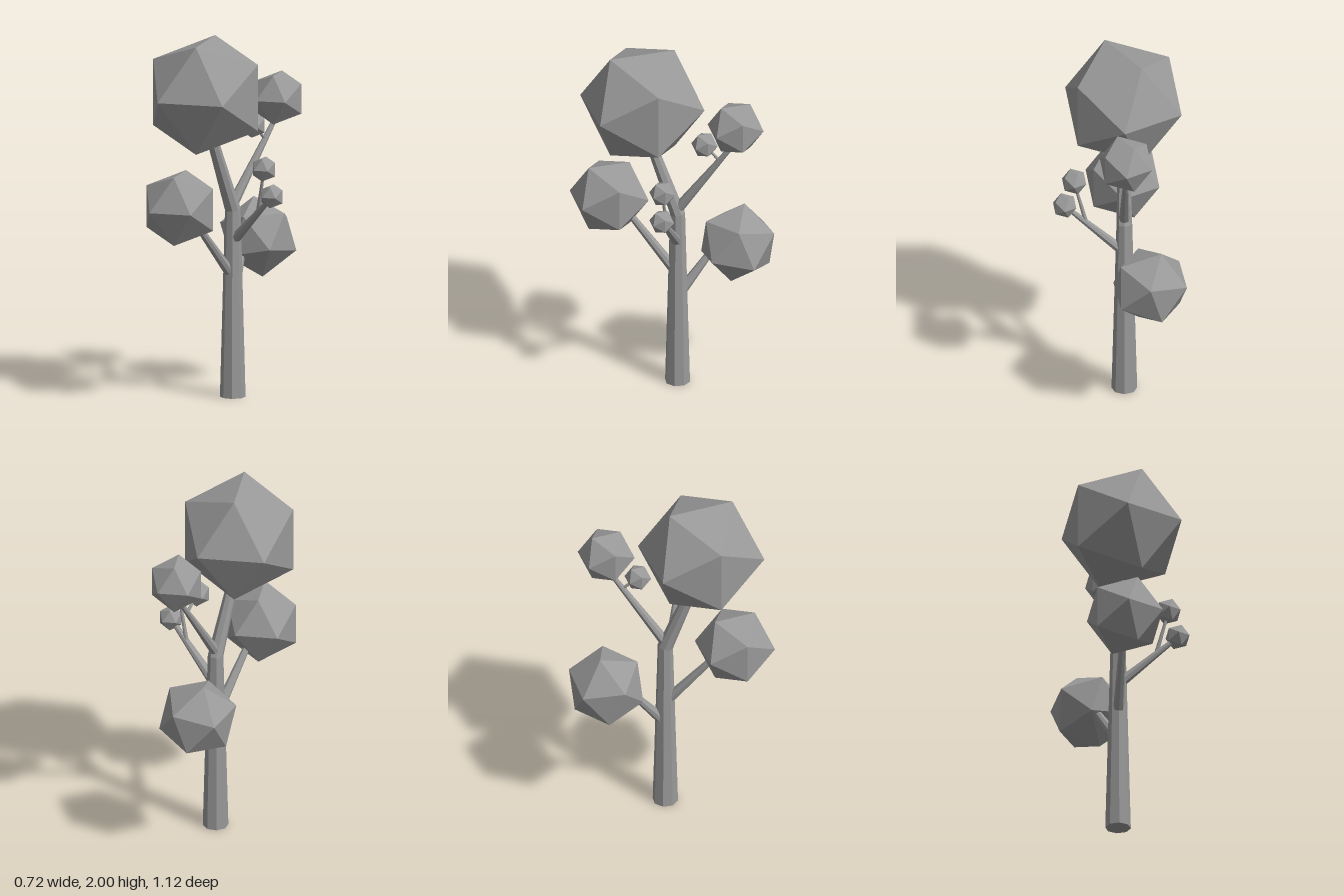
import * as THREE from 'three';

const V = (x, y, z) => new THREE.Vector3(x, y, z);

export function createModel() {
  const tree = new THREE.Group();
  tree.name = 'tree';
  const grey = new THREE.MeshStandardMaterial({ color: 0x999999, flatShading: true });
  grey.name = 'plain grey';

  function add(geometry, name) {
    const mesh = new THREE.Mesh(geometry, grey);
    mesh.name = name;
    tree.add(mesh);
    return mesh;
  }

  // Tapered eight-sided limb whose rings follow the points, mitred at bends
  function limb(name, points, radii) {
    const n = points.length - 1;
    const geo = new THREE.CylinderGeometry(1, 1, n, 8, n);
    const turns = points.map((p, i) => {
      const dir = V(0, 0, 0);
      if (i > 0) dir.add(p.clone().sub(points[i - 1]).normalize());
      if (i < n) dir.add(points[i + 1].clone().sub(p).normalize());
      return new THREE.Quaternion().setFromUnitVectors(V(0, 1, 0), dir.normalize());
    });
    const pos = geo.attributes.position;
    const v = V(0, 0, 0);
    for (let i = 0; i < pos.count; i++) {
      v.fromBufferAttribute(pos, i);
      const ring = Math.round(v.y + n / 2);
      v.setY(0).multiplyScalar(radii[ring]).applyQuaternion(turns[ring]).add(points[ring]);
      pos.setXYZ(i, v.x, v.y, v.z);
    }
    geo.computeVertexNormals();
    add(geo, name);
  }

  // Icosahedron with one corner along pole and a neighbouring corner towards side
  function foliage(name, centre, radius, pole = V(0, 0, 1), side = V(1, 0, 0)) {
    const geo = new THREE.IcosahedronGeometry(radius, 0);
    geo.rotateX(Math.atan(2 / (1 + Math.sqrt(5))));
    geo.rotateZ(Math.PI / 2);
    const z = pole.clone().normalize();
    const x = side.clone().addScaledVector(z, -side.dot(z)).normalize();
    geo.applyMatrix4(new THREE.Matrix4().makeBasis(x, z.clone().cross(x), z));
    add(geo, name).position.copy(centre);
  }

  // Trunk, bending forward near the top
  limb('trunk', [V(-0.03, 0, -0.048), V(-0.03, 1.04, -0.048), V(-0.03, 1.44, 0.098)], [0.07, 0.043, 0.031]);

  // Main branches
  limb('frontBranch', [V(-0.03, 0.7, -0.02), V(-0.03, 0.99, 0.215)], [0.03, 0.019]);
  limb('backLowerBranch', [V(-0.045, 0.56, -0.07), V(-0.135, 0.77, -0.21)], [0.03, 0.019]);
  limb('leftBranch', [V(-0.01, 0.88, -0.048), V(0.27, 1.135, -0.045)], [0.029, 0.014]);
  limb('backUpperBranch', [V(-0.03, 1.07, -0.05), V(-0.03, 1.5, -0.355)], [0.03, 0.013]);

  // Twigs
  limb('leftTwig', [V(0.18, 1.06, -0.046), V(0.23, 1.25, -0.035)], [0.012, 0.008]);
  limb('backTwig', [V(-0.03, 1.4, -0.285), V(-0.03, 1.46, -0.225)], [0.01, 0.007]);

  // Foliage balls
  foliage('crownFoliage', V(-0.03, 1.7, 0.15), 0.35);
  foliage('frontFoliage', V(-0.03, 1.097, 0.337), 0.222);
  foliage('backLowerFoliage', V(-0.163, 0.83, -0.352), 0.222, V(-0.06, 0.21, -0.022), V(0, 0.087, -0.206));
  foliage('backUpperFoliage', V(-0.03, 1.617, -0.375), 0.158);
  foliage('backTwigFoliage', V(-0.03, 1.487, -0.2), 0.074);
  foliage('leftTwigFoliage', V(0.243, 1.305, -0.033), 0.073);
  foliage('leftFoliage', V(0.295, 1.16, -0.044), 0.07);

  return tree;
}
